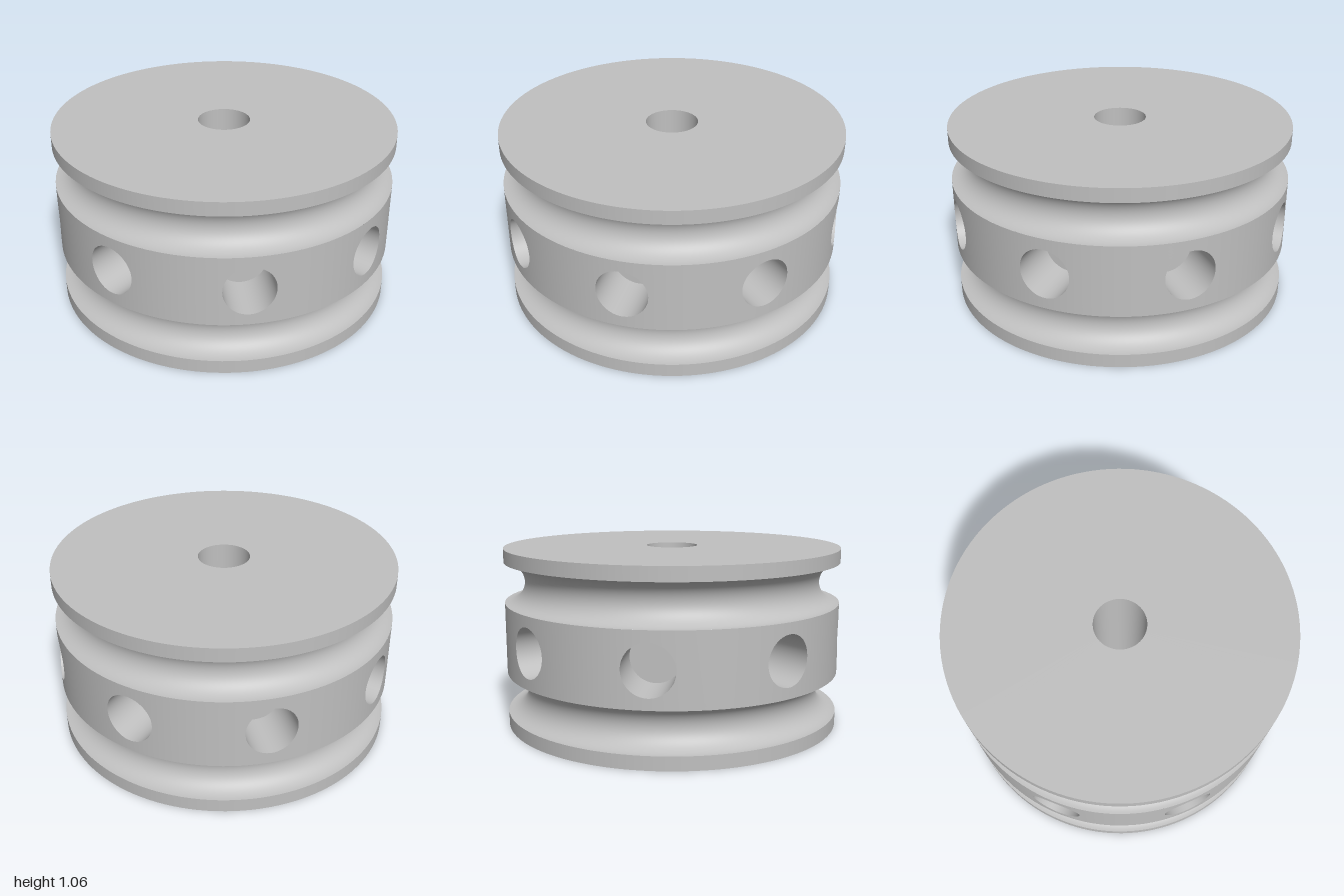
import * as THREE from 'three';

const HEIGHT = 1.056, MID = HEIGHT / 2;
const BORE = 0.152;                       // axial through hole radius
const GROOVE = 0.12, GROOVE_OFFSET = 0.328; // groove radius and distance from mid height
const HOLE = 0.144, HOLE_DEPTH = 0.3, HOLES = 8; // blind radial holes
const BAND = GROOVE_OFFSET - GROOVE;      // half height of the middle band

// Grid surface: fn(a, s) returns [position, normal], a goes round, s goes 0..1
function ringSurface(fn, around, steps) {
  const pos = [], nor = [], index = [];
  for (let i = 0; i <= around; i++) {
    for (let j = 0; j <= steps; j++) {
      const [p, n] = fn((i / around) * Math.PI * 2, j / steps);
      pos.push(...p);
      nor.push(...n);
      if (i < around && j < steps) {
        const k = i * (steps + 1) + j, m = k + steps + 1;
        index.push(k, k + 1, m + 1, k, m + 1, m);
      }
    }
  }
  const g = new THREE.BufferGeometry();
  g.setAttribute('position', new THREE.Float32BufferAttribute(pos, 3));
  g.setAttribute('normal', new THREE.Float32BufferAttribute(nor, 3));
  g.setIndex(index);
  return g;
}

// Band sector: blends from the hole's mouth to the sector's rectangular border
function bandPoint(a, s) {
  const c = Math.cos(a), d = Math.sin(a), m = Math.max(Math.abs(c), Math.abs(d));
  const theta = THREE.MathUtils.lerp(Math.asin(HOLE * c), (c / m) * Math.PI / HOLES, s);
  const y = THREE.MathUtils.lerp(HOLE * d, (d / m) * BAND, s);
  const n = [Math.sin(theta), 0, Math.cos(theta)];
  return [[n[0], y, n[2]], n];
}

// Hole wall: from the flat floor out to the curved mouth
function wallPoint(a, s) {
  const c = Math.cos(a), d = Math.sin(a), x = HOLE * c;
  const z = THREE.MathUtils.lerp(1 - HOLE_DEPTH, Math.sqrt(1 - x * x), s);
  return [[x, HOLE * d, z], [-c, -d, 0]];
}

export function createModel() {
  const model = new THREE.Group();
  model.name = 'groovedWheel';
  const metal = new THREE.MeshStandardMaterial({ color: 0xc0c0c0 });
  metal.name = 'plainGrey';

  const add = (parent, name, geometry) => {
    const mesh = new THREE.Mesh(geometry, metal);
    mesh.name = name;
    parent.add(mesh);
    return mesh;
  };
  // Each smooth stretch of the profile is its own lathe, so edges stay sharp
  const turn = (name, points) =>
    add(model, name, new THREE.LatheGeometry(points.map(([r, y]) => new THREE.Vector2(r, y)), 128));

  // End faces, rims and bore
  const rim = MID - GROOVE_OFFSET - GROOVE;
  turn('bottomFace', [[BORE, 0], [1, 0]]);
  turn('bottomRim', [[1, 0], [1, rim]]);
  turn('topRim', [[1, HEIGHT - rim], [1, HEIGHT]]);
  turn('topFace', [[1, HEIGHT], [BORE, HEIGHT]]);
  turn('bore', [[BORE, HEIGHT], [BORE, 0]]);

  // Half-round grooves
  for (const [name, side] of [['lowerGroove', -1], ['upperGroove', 1]]) {
    const points = [];
    for (let i = 0; i <= 32; i++) {
      const a = (i / 32) * Math.PI;
      points.push([1 - GROOVE * Math.sin(a), MID + side * GROOVE_OFFSET - GROOVE * Math.cos(a)]);
    }
    turn(name, points);
  }

  // Middle band in equal sectors, each with one blind hole
  const sector = ringSurface(bandPoint, 64, 8);
  const wall = ringSurface(wallPoint, 64, 1);
  const floor = new THREE.CircleGeometry(HOLE, 64);
  for (let i = 0; i < HOLES; i++) {
    const group = new THREE.Group();
    group.name = 'bandSector' + (i + 1);
    group.position.y = MID;
    group.rotation.y = (i / HOLES) * Math.PI * 2;
    add(group, 'bandSurface', sector);
    add(group, 'holeWall', wall);
    add(group, 'holeFloor', floor).position.z = 1 - HOLE_DEPTH;
    model.add(group);
  }
  return model;
}
